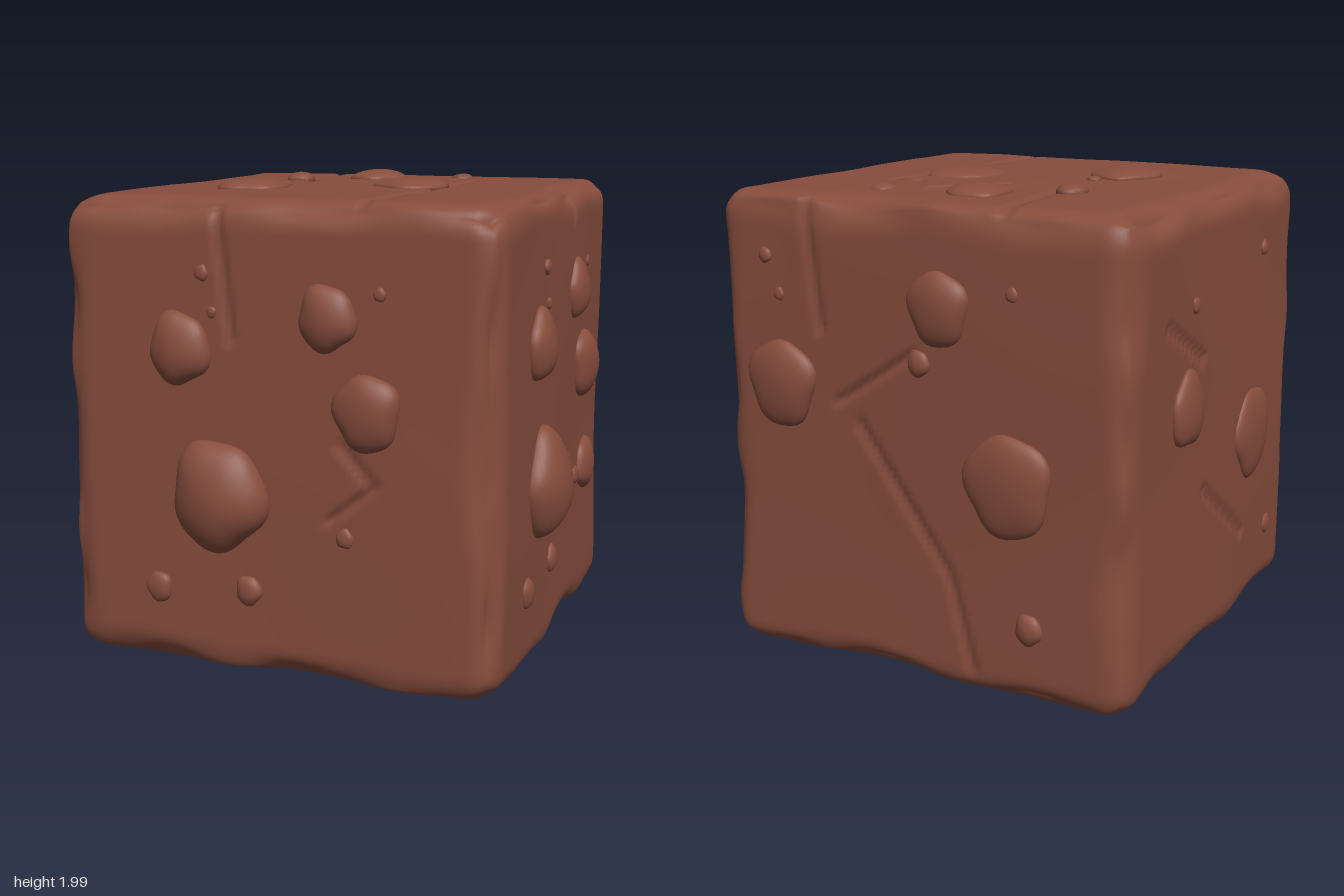
import * as THREE from 'three';
import { mergeVertices } from 'three/addons/utils/BufferGeometryUtils.js';

const CENTRE = new THREE.Vector3(-0.035, 0.99, -0.03);
const HALF = new THREE.Vector3(0.912, 0.957, 0.908);
const V = (x, y, z) => new THREE.Vector3(x, y, z);
const X = V(1, 0, 0), Y = V(0, 1, 0), Z = V(0, 0, 1);

// A face of the block: outward axis n, upward axis v, and u across it
function makeFace(name, n, v, maxHeight, pebbles, cracks) {
  const depth = CENTRE.dot(n) + Math.abs(HALF.dot(n));
  return { name, n, v, u: v.clone().cross(n), depth, maxHeight, pebbles, cracks };
}

// Pebbles are [across, up, radius]; the front and right side share one pattern
const pattern = [
  [-0.42, 1.36, 0.135], [-0.32, 1.66, 0.03], [-0.28, 1.51, 0.022], [0.2, 1.51, 0.12], [0.41, 1.61, 0.025],
  [0.36, 1.16, 0.14], [-0.26, 0.78, 0.21], [0.27, 0.66, 0.038], [-0.54, 0.37, 0.06], [-0.14, 0.4, 0.058]];
const shifted = pattern.map(([a, b, r]) => [a + (r > 0.2 ? 0.05 : 0.11), b, r]);
const backPebbles = [
  [-0.57, 1.19, 0.165], [-0.63, 1.7, 0.03], [-0.57, 1.55, 0.025], [0.16, 1.56, 0.135],
  [0.07, 1.34, 0.05], [0.47, 1.64, 0.028], [0.45, 0.91, 0.19], [0.54, 0.35, 0.06]];
const leftPebbles = [
  [-0.4, 1.14, 0.14], [0.35, 0.86, 0.185], [-0.34, 1.54, 0.03], [0.44, 1.65, 0.03], [0.6, 0.36, 0.045]];
const topPebbles = [
  [-0.13, 0.57, 0.13], [-0.43, 0.37, 0.065], [0.26, 0.64, 0.05], [-0.34, -0.03, 0.03],
  [-0.39, -0.24, 0.155], [0.22, 0.05, 0.165]];
const undersidePebbles = [[0.53, -0.17, 0.14], [-0.1, 0.26, 0.14], [-0.17, -0.54, 0.1]];

const FACES = [
  makeFace('front', Z, Y, 0.12, pattern,
    [[[-0.27, 2], [-0.2, 1.4]], [[0.25, 1.03], [0.39, 0.87], [0.2, 0.72]]]),
  makeFace('rightSide', X, Y, 0.12, [...shifted, [0.54, 0.68, 0.11]],
    [[[0.27, 2], [0.26, 1.82]]]),
  makeFace('back', Z.clone().negate(), Y, 0.06, backPebbles,
    [[[-0.45, 2], [-0.38, 1.42]], [[-0.31, 1.14], [0.04, 1.37]], [[-0.21, 1.07], [0.19, 0.5], [0.29, 0.13]]]),
  makeFace('leftSide', X.clone().negate(), Y, 0.05, leftPebbles,
    [[[-0.6, 1.5], [-0.23, 1.3]], [[-0.19, 0.75], [0.27, 0.42]]]),
  makeFace('top', Y, Z.clone().negate(), 0.04, topPebbles,
    [[[-0.43, 1], [-0.35, 0.24]], [[0.38, 0.4], [0.31, -0.8]], [[-0.1, 0.25], [0.14, 0.57], [0.3, 0.33]]]),
  makeFace('underside', Y.clone().negate(), Z, 0.03, undersidePebbles,
    [[[0.5, 0.4], [-0.4, 0.05]]]),
];

// Smooth repeatable lumps
const lumps = (p, f, s) =>
  (Math.sin(p.x * f + s + 1.7 * Math.sin(p.y * f * 0.7 + s)) +
   Math.sin(p.y * f + 2 * s + 1.7 * Math.sin(p.z * f * 0.7)) +
   Math.sin(p.z * f + 3 * s + 1.7 * Math.sin(p.x * f * 0.7))) / 3;

function distToPath(x, y, path) {
  let best = Infinity;
  for (let i = 1; i < path.length; i++) {
    const [ax, ay] = path[i - 1], [bx, by] = path[i];
    const dx = bx - ax, dy = by - ay;
    const t = THREE.MathUtils.clamp(((x - ax) * dx + (y - ay) * dy) / (dx * dx + dy * dy), 0, 1);
    best = Math.min(best, Math.hypot(x - ax - t * dx, y - ay - t * dy));
  }
  return best;
}

// Weld the corners and smooth the normals
function weld(geometry) {
  geometry.deleteAttribute('normal');
  geometry.deleteAttribute('uv');
  const welded = mergeVertices(geometry, 1e-5);
  welded.computeVertexNormals();
  return welded;
}

// Worn block: rounded edges of uneven width, gentle lumps and narrow cracks
function blockGeometry() {
  const N = 84, crack = 0.022;
  const g = new THREE.BoxGeometry(HALF.x * 2, HALF.y * 2, HALF.z * 2, N, N, N);
  const pos = g.attributes.position;
  const p = V(0, 0, 0);
  for (let i = 0; i < pos.count; i++) {
    p.fromBufferAttribute(pos, i);
    const r = 0.125 + 0.045 * lumps(p, 6, 1.3);
    const limit = HALF.clone().subScalar(r);
    const inner = p.clone().clamp(limit.clone().negate(), limit);
    const n = p.clone().sub(inner).normalize();
    const edge = 1 - Math.max(Math.abs(n.x), Math.abs(n.y), Math.abs(n.z));
    let push = 0.008 * lumps(p, 3.5, 0.4) + edge * 0.1 * lumps(p, 11, 2.1);
    const world = inner.addScaledVector(n, r).add(CENTRE);
    for (const f of FACES) {
      if (n.dot(f.n) < 0.65) continue;
      for (const path of f.cracks) {
        push -= Math.max(0, crack - distToPath(world.dot(f.u), world.dot(f.v), path));
      }
    }
    world.addScaledVector(n, push);
    pos.setXYZ(i, world.x, world.y, world.z);
  }
  return weld(g);
}

// Irregular flattened stone with a gently domed top
function pebbleGeometry(r, height, seed) {
  const g = new THREE.IcosahedronGeometry(1, r > 0.1 ? 6 : 3);
  const pos = g.attributes.position;
  for (let i = 0; i < pos.count; i++) {
    const x = pos.getX(i), y = pos.getY(i), z = pos.getZ(i);
    const a = Math.atan2(y, x);
    const k = r * (1 + Math.hypot(x, y) * (0.05 * Math.sin(3 * a + seed * 2) + 0.04 * Math.sin(5 * a + seed * 4)));
    const dome = z * (1 + 0.1 * Math.sin(2 * x + seed) * Math.cos(2 * y + seed));
    pos.setXYZ(i, x * k * 0.96, y * k * 1.08, dome * (z > 0 ? height : 0.05));
  }
  return weld(g);
}

export function createModel() {
  const model = new THREE.Group();
  model.name = 'rockBlock';
  const clay = new THREE.MeshStandardMaterial({ color: 0x874d3d });
  clay.name = 'reddish brown clay';

  const block = new THREE.Mesh(blockGeometry(), clay);
  block.name = 'block';
  model.add(block);

  // Stones set into every face
  let seed = 1;
  for (const f of FACES) {
    const group = new THREE.Group();
    group.name = f.name + 'Pebbles';
    group.quaternion.setFromRotationMatrix(new THREE.Matrix4().makeBasis(f.u, f.v, f.n));
    group.position.copy(f.n).multiplyScalar(f.depth);
    for (const [across, up, r] of f.pebbles) {
      const height = Math.min(f.maxHeight, r * (r > 0.2 ? 0.57 : 0.5));
      const pebble = new THREE.Mesh(pebbleGeometry(r, height, seed++), clay);
      pebble.name = 'pebble';
      pebble.position.set(across, up, 0);
      group.add(pebble);
    }
    model.add(group);
  }
  return model;
}
